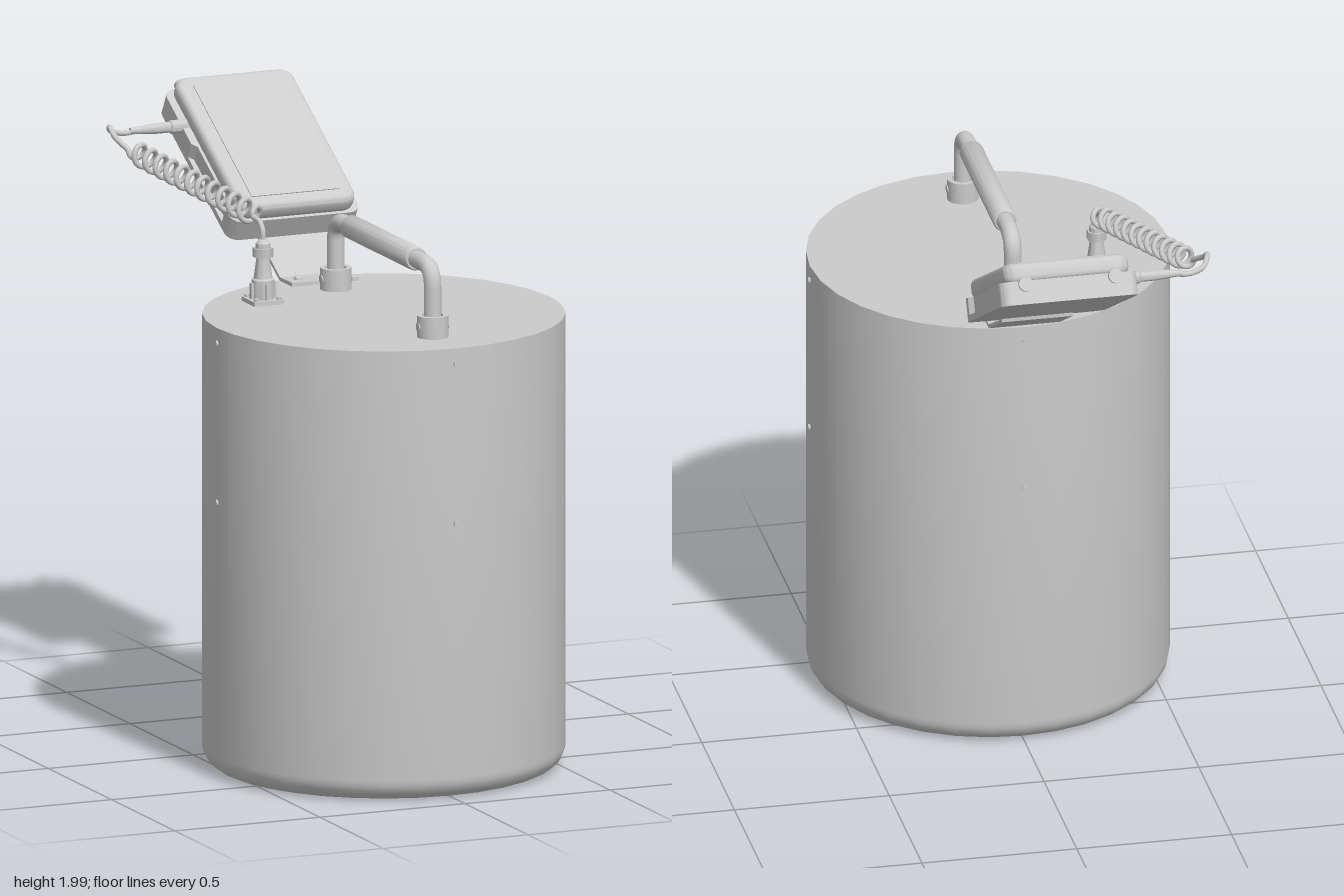
import * as THREE from 'three';
import { toCreasedNormals } from 'three/addons/utils/BufferGeometryUtils.js';

const mat = new THREE.MeshStandardMaterial({ color: 0xcccccc, side: THREE.DoubleSide });
const V = (x, y, z) => new THREE.Vector3(x, y, z);

function add(parent, name, geo, x = 0, y = 0, z = 0) {
  const m = new THREE.Mesh(geo, mat);
  m.name = name;
  m.position.set(x, y, z);
  parent.add(m);
  return m;
}

// Turned part from [radius, height] pairs, listed bottom to top
function turned(pts, seg = 20) {
  return toCreasedNormals(new THREE.LatheGeometry(pts.map(p => new THREE.Vector2(...p)), seg), 0.7);
}

// Flat slab: outline in x / -z, thickness up y from y0 to y1, optional bevel
function slab(shape, y0, y1, bevel = 0) {
  const g = new THREE.ExtrudeGeometry(shape, {
    depth: y1 - y0 - 2 * bevel, bevelEnabled: bevel > 0, bevelSize: bevel,
    bevelThickness: bevel, bevelOffset: -bevel, bevelSegments: 4, curveSegments: 6,
  });
  g.rotateX(-Math.PI / 2).translate(0, y0 + bevel, 0);
  return toCreasedNormals(g, 0.7);
}

// Rounded rectangle with half width w, from a to b
function roundRect(w, a, b, r) {
  const s = new THREE.Shape();
  s.absarc(w - r, a + r, r, -Math.PI / 2, 0);
  s.absarc(w - r, b - r, r, 0, Math.PI / 2);
  s.absarc(-w + r, b - r, r, Math.PI / 2, Math.PI);
  s.absarc(-w + r, a + r, r, Math.PI, Math.PI * 1.5);
  s.closePath();
  return s;
}

// Rounded rectangle whose long sides are cut in along the middle
function waistedRect(w, waist, a, b, r, c, d) {
  const s = new THREE.Shape();
  s.absarc(w - r, a + r, r, -Math.PI / 2, 0);
  s.lineTo(w, c); s.lineTo(waist, c + 0.015);
  s.lineTo(waist, d - 0.015); s.lineTo(w, d);
  s.absarc(w - r, b - r, r, 0, Math.PI / 2);
  s.absarc(-w + r, b - r, r, Math.PI / 2, Math.PI);
  s.lineTo(-w, d); s.lineTo(-waist, d - 0.015);
  s.lineTo(-waist, c + 0.015); s.lineTo(-w, c);
  s.absarc(-w + r, a + r, r, Math.PI, Math.PI * 1.5);
  s.closePath();
  return s;
}

const R = 0.575, TOP = 1.46, CZ = 0.36;

function buildBody(root) {
  const body = new THREE.Group();
  body.name = 'body';
  body.position.z = CZ;
  root.add(body);
  const pts = [[0, 0]];
  for (let i = 0; i <= 6; i++) {
    const a = (i / 6) * Math.PI / 2;
    pts.push([R - 0.07 + 0.07 * Math.sin(a), 0.07 - 0.07 * Math.cos(a)]);
  }
  pts.push([R, TOP], [0, TOP]);
  add(body, 'drum', turned(pts, 32));
  // Side screws
  for (let i = 0; i < 4; i++) for (const y of [0.895, 1.41]) {
    const a = i * Math.PI / 2;
    const g = new THREE.CylinderGeometry(0.01, 0.01, 0.012, 10).rotateX(Math.PI / 2).rotateY(a);
    add(body, 'sideScrew', g, R * Math.sin(a), y, R * Math.cos(a));
  }
}

function buildHandle(root) {
  const handle = new THREE.Group();
  handle.name = 'handle';
  root.add(handle);
  const z0 = 0.745, z1 = -0.02, y = 1.685, b = 0.065;
  const path = new THREE.CurvePath();
  path.add(new THREE.LineCurve3(V(0, TOP, z0), V(0, y - b, z0)));
  path.add(new THREE.QuadraticBezierCurve3(V(0, y - b, z0), V(0, y, z0), V(0, y, z0 - b)));
  path.add(new THREE.LineCurve3(V(0, y, z0 - b), V(0, y, z1 + b)));
  path.add(new THREE.QuadraticBezierCurve3(V(0, y, z1 + b), V(0, y, z1), V(0, y - b, z1)));
  path.add(new THREE.LineCurve3(V(0, y - b, z1), V(0, TOP, z1)));
  add(handle, 'handleRod', new THREE.TubeGeometry(path, 80, 0.028, 14));
  const grip = turned([[0.028, -0.26], [0.034, -0.26], [0.038, -0.255], [0.038, 0.255], [0.034, 0.26], [0.028, 0.26]]);
  add(handle, 'handleGrip', grip.rotateX(Math.PI / 2), 0, y, 0.357);
  for (const z of [z0, z1]) {
    add(handle, 'handleSocket', turned([[0.05, 0], [0.05, 0.07], [0.034, 0.07], [0.034, 0.01]]), 0, TOP, z);
    add(handle, 'socketPin', new THREE.CylinderGeometry(0.014, 0.014, 0.104, 12).rotateZ(Math.PI / 2), 0, TOP + 0.035, z);
  }
}

function buildBracket(root) {
  // Bent strap: flat foot, then a 30 degree rise under the display
  const s = new THREE.Shape();
  const t = 0.012, dy = 0.577;
  s.moveTo(0.10, 0); s.lineTo(0.20, 0); s.lineTo(0.40, 0.2 * dy);
  s.lineTo(0.40, 0.2 * dy + t); s.lineTo(0.197, t); s.lineTo(0.10, t);
  s.closePath();
  const g = new THREE.ExtrudeGeometry(s, { depth: 0.23, bevelEnabled: false });
  g.translate(0, 0, -0.115).rotateY(Math.PI / 2);
  add(root, 'bracket', g, 0, TOP, 0);
  for (const x of [-0.075, 0.075])
    add(root, 'bracketScrew', turned([[0.014, 0], [0.014, 0.006], [0.009, 0.012], [0, 0.013]], 12), x, TOP + t, -0.145);
}

function buildDisplay(root) {
  const box = new THREE.Group();
  box.name = 'displayBox';
  box.position.set(0, 1.565, -0.36);
  box.rotation.x = Math.PI / 6;
  root.add(box);
  add(box, 'boxFloor', slab(roundRect(0.222, 0, 0.64, 0.04), 0, 0.02));
  add(box, 'boxTray', slab(waistedRect(0.222, 0.206, 0, 0.64, 0.04, 0.07, 0.38), 0.02, 0.075));
  add(box, 'boxLid', slab(roundRect(0.203, 0.003, 0.635, 0.045), 0.07, 0.134, 0.022));
  add(box, 'screen', slab(roundRect(0.152, 0.05, 0.59, 0.005), 0.13, 0.137));
  // Thumb screws on the far end
  for (const x of [-0.145, 0.145]) {
    const knob = turned([[0.011, 0], [0.011, 0.022], [0.023, 0.022], [0.023, 0.036], [0, 0.036]], 16);
    add(box, 'thumbScrew', knob.rotateX(-Math.PI / 2), x, 0.062, -0.638);
  }
}

function buildConnector(root) {
  const c = new THREE.Group();
  c.name = 'cableConnector';
  c.position.set(-0.29, TOP, 0.07);
  root.add(c);
  add(c, 'connectorPlate', new THREE.BoxGeometry(0.104, 0.014, 0.104), 0, 0.007, 0);
  for (const x of [-0.039, 0.039]) for (const z of [-0.039, 0.039])
    add(c, 'plateScrew', new THREE.CylinderGeometry(0.008, 0.008, 0.008, 10), x, 0.018, z);
  add(c, 'connectorShell', turned([[0.036, 0.014], [0.036, 0.075], [0.03, 0.08], [0.021, 0.145], [0.021, 0.15]]));
  for (let i = 0; i < 4; i++) {
    const a = i * Math.PI / 2;
    add(c, 'connectorRib', new THREE.BoxGeometry(0.014, 0.05, 0.014), 0.036 * Math.cos(a), 0.04, 0.036 * Math.sin(a));
  }
  add(c, 'connectorNut', new THREE.CylinderGeometry(0.033, 0.033, 0.03, 6).toNonIndexed(), 0, 0.162, 0);
  add(c, 'connectorNeck', turned([[0.024, 0.177], [0.024, 0.192], [0.012, 0.205], [0, 0.205]]));
}

function buildCable(root) {
  // Gland on the display side, axis along x
  const gland = turned([[0.022, 0], [0.022, 0.06], [0.017, 0.065], [0.017, 0.11], [0.01, 0.2], [0, 0.2]], 16);
  add(root, 'cableGland', gland.rotateZ(Math.PI / 2), -0.195, 1.86, -0.74);

  // Coil from connector to the turn beside the display
  const a = V(-0.28, 1.725, 0.0), b = V(-0.45, 1.83, -0.60);
  const axis = b.clone().sub(a).normalize();
  const side = V(0, 1, 0).cross(axis).normalize();
  const up = axis.clone().cross(side);
  const pts = [V(-0.29, 1.65, 0.07), V(-0.29, 1.69, 0.068), V(-0.29, 1.715, 0.045)];
  const turns = 12, per = 12;
  for (let i = 0; i <= turns * per; i++) {
    const t = i / (turns * per), w = t * turns * Math.PI * 2;
    const r = 0.032 * Math.min(1, 0.5 + t * 12, 0.4 + (1 - t) * 12);
    const p = a.clone().lerp(b, t);
    p.addScaledVector(side, r * Math.cos(w)).addScaledVector(up, r * Math.sin(w));
    pts.push(p);
  }
  pts.push(V(-0.485, 1.865, -0.65), V(-0.487, 1.89, -0.69), V(-0.465, 1.868, -0.73), V(-0.42, 1.855, -0.74), V(-0.36, 1.86, -0.74));
  add(root, 'coiledCable', new THREE.TubeGeometry(new THREE.CatmullRomCurve3(pts), 720, 0.009, 8));
}

export function createModel() {
  const root = new THREE.Group();
  root.name = 'instrument';
  for (const build of [buildBody, buildHandle, buildBracket, buildDisplay, buildConnector, buildCable]) build(root);
  return root;
}
